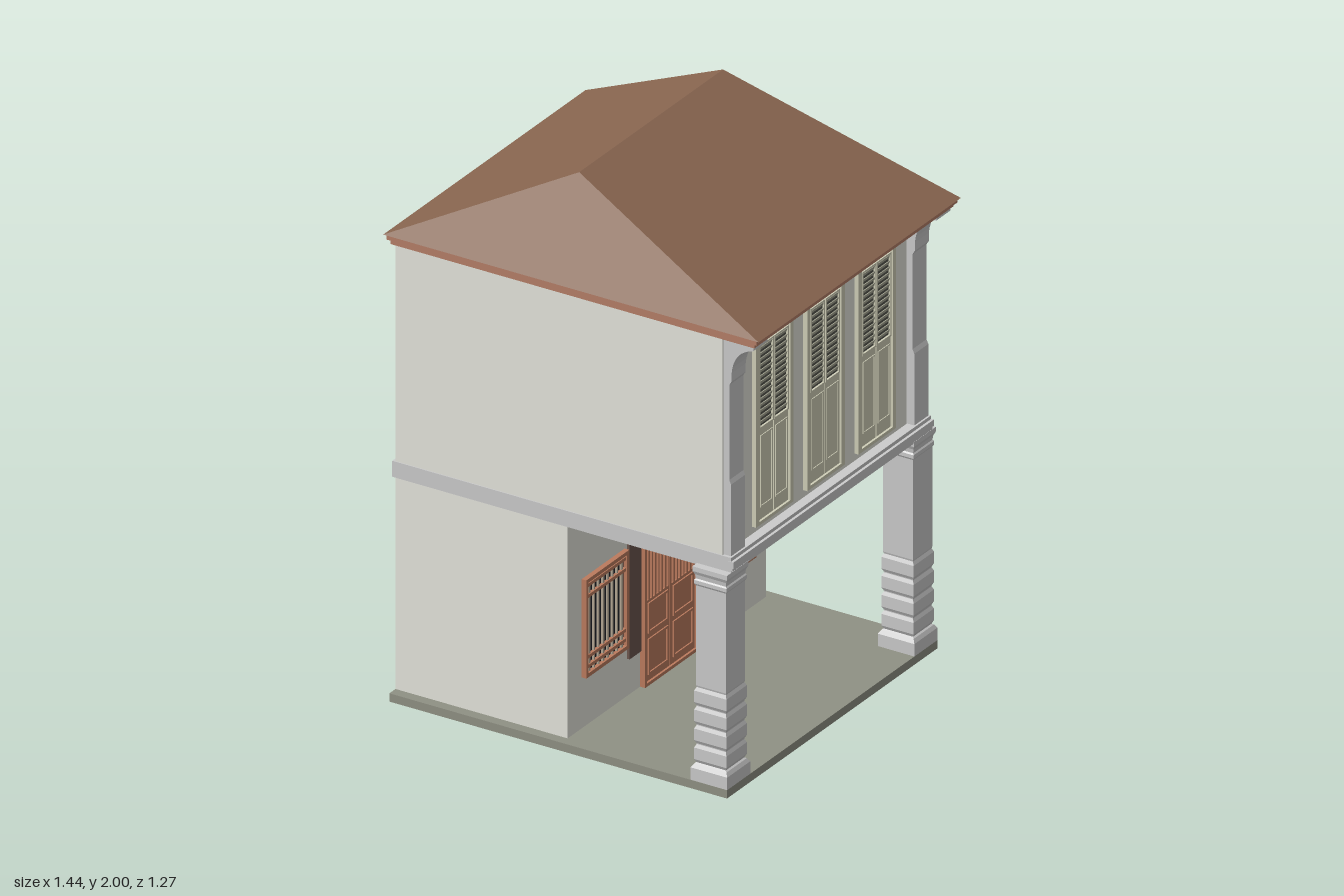
import * as THREE from 'three';

const mat = (color, extra = {}) => new THREE.MeshStandardMaterial({ color, ...extra });
const M = {
  wall: mat(0xe4e4dc), stone: mat(0xc0c0c2, { flatShading: true }), floor: mat(0x8f9184),
  roof: mat(0x896650, { flatShading: true }), eave: mat(0xb57f68), wood: mat(0xbb7b5e),
  board: mat(0x6c564e), dark: mat(0x23242c), sign: mat(0x474c58), bar: mat(0xb5a894),
  cream: mat(0xd0cfb8), fan: mat(0xbfb99f), slat: mat(0xa9a996), shade: mat(0x55564f),
};

function add(parent, name, geo, material) {
  const mesh = new THREE.Mesh(geo, material);
  mesh.name = name;
  parent.add(mesh);
  return mesh;
}

// Box given by its extents
function box(parent, name, material, x0, x1, y0, y1, z0, z1) {
  const m = add(parent, name, new THREE.BoxGeometry(x1 - x0, y1 - y0, z1 - z0), material);
  m.position.set((x0 + x1) / 2, (y0 + y1) / 2, (z0 + z1) / 2);
  return m;
}

// Group whose local +z looks along world +x, for parts on the street side
function facade(parent, name, x, z = 0) {
  const g = new THREE.Group();
  g.name = name;
  g.rotation.y = Math.PI / 2;
  g.position.set(x, 0, z);
  parent.add(g);
  return g;
}

// Raised rectangular border
function border(parent, name, material, x0, x1, y0, y1, z0, z1, t) {
  box(parent, name, material, x0, x0 + t, y0, y1, z0, z1);
  box(parent, name, material, x1 - t, x1, y0, y1, z0, z1);
  box(parent, name, material, x0 + t, x1 - t, y0, y0 + t, z0, z1);
  box(parent, name, material, x0 + t, x1 - t, y1 - t, y1, z0, z1);
}

// Hipped roof with a short ridge, closed below
function roofGeometry() {
  const y = 1.675, X = 0.72, Z = 0.612;
  const a = [-X, y, Z], b = [X, y, Z], c = [X, y, -Z], d = [-X, y, -Z];
  const p = [-0.08, 2, 0.435], q = [-0.08, 2, -0.435];
  const tris = [a, b, p, b, c, q, b, q, p, c, d, q, d, a, p, d, p, q, a, d, c, a, c, b];
  const g = new THREE.BufferGeometry();
  g.setAttribute('position', new THREE.Float32BufferAttribute(tris.flat(), 3));
  g.computeVertexNormals();
  return g;
}

// Square column turned from a profile of [half width, height]
function column(parent, x, z) {
  const prof = [[0, 0.03], [0.07, 0.03], [0.07, 0.075], [0.062, 0.088]];
  for (let i = 0; i < 4; i++) {
    const y = 0.092 + i * 0.069;
    prof.push([0.056, y], [0.062, y + 0.012], [0.062, y + 0.054], [0.056, y + 0.066]);
  }
  prof.push([0.058, 0.372], [0.058, 0.735], [0.062, 0.742], [0.062, 0.755], [0.058, 0.76],
    [0.06, 0.775], [0.066, 0.788], [0.066, 0.805], [0, 0.805]);
  const pts = prof.map(([w, y]) => new THREE.Vector2(w * Math.SQRT2, y));
  const m = add(parent, 'column', new THREE.LatheGeometry(pts, 4).rotateY(Math.PI / 4), M.stone);
  m.position.set(x, 0, z);
}

// Upper pilaster with a curved bracket under the eave
function pilaster(parent, z) {
  const s = new THREE.Shape();
  s.moveTo(0.56, 0.86);
  s.lineTo(0.605, 0.86);
  s.lineTo(0.605, 1.12);
  s.lineTo(0.598, 1.135);
  s.lineTo(0.598, 1.48);
  s.lineTo(0.607, 1.495);
  s.lineTo(0.607, 1.525);
  s.quadraticCurveTo(0.615, 1.61, 0.69, 1.628);
  s.lineTo(0.69, 1.648);
  s.lineTo(0.56, 1.648);
  const g = new THREE.ExtrudeGeometry(s, { depth: 0.085, bevelEnabled: false, curveSegments: 8 });
  add(parent, 'pilaster', g, M.stone).position.z = z - 0.0425;
}

// Rectangle with a low arched head
function archPath(Kind, w, y0, spring, top) {
  const s = new Kind();
  s.moveTo(-w, y0);
  s.lineTo(w, y0);
  s.lineTo(w, spring);
  s.absellipse(0, spring, w, top - spring, 0, Math.PI, false);
  s.lineTo(-w, y0);
  return s;
}

function upperWindow(parent, z) {
  const g = facade(parent, 'archedWindow', 0.575, z);
  const ex = (shape, depth) => new THREE.ExtrudeGeometry(shape, { depth, bevelEnabled: false, curveSegments: 20 });
  add(g, 'fanlight', ex(archPath(THREE.Shape, 0.11, 0.885, 1.55, 1.622), 0.006), M.fan);
  const rim = archPath(THREE.Shape, 0.113, 0.885, 1.55, 1.625);
  rim.holes.push(archPath(THREE.Path, 0.094, 0.897, 1.545, 1.606));
  add(g, 'windowFrame', ex(rim, 0.016), M.cream);
  const key = new THREE.Shape([[-0.014, 1.575], [0.014, 1.575], [0.027, 1.642], [-0.027, 1.642]]
    .map(([x, y]) => new THREE.Vector2(x, y)));
  add(g, 'keystone', ex(key, 0.024), M.cream);
  for (const s of [-1, 1]) {
    const c = s * 0.045, x0 = c - 0.043, x1 = c + 0.043;
    box(g, 'shutterLeaf', M.cream, x0, x1, 0.9, 1.235, 0, 0.011);
    border(g, 'shutterPanelTrim', M.cream, x0 + 0.007, x1 - 0.007, 0.945, 1.205, 0.011, 0.014, 0.005);
    box(g, 'louverBack', M.shade, x0, x1, 1.235, 1.53, 0, 0.007);
    border(g, 'louverFrame', M.cream, x0, x1, 1.23, 1.535, 0.006, 0.014, 0.006);
    for (let i = 0; i < 14; i++) {
      const y = 1.246 + i * 0.0207;
      box(g, 'louver', M.slat, x0 + 0.006, x1 - 0.006, y - 0.002, y + 0.012, 0.008, 0.011).rotation.x = 0.35;
    }
  }
}

function groundWindow(parent, z) {
  const g = facade(parent, 'barredWindow', -0.02, z);
  box(g, 'windowPane', M.dark, -0.125, 0.125, 0.225, 0.565, 0, 0.004);
  border(g, 'windowFrame', M.wood, -0.13, 0.13, 0.215, 0.572, 0, 0.018, 0.014);
  for (const y of [0.245, 0.28, 0.5, 0.54]) box(g, 'rail', M.wood, -0.116, 0.116, y, y + 0.012, 0.004, 0.015);
  for (let i = 0; i < 8; i++) {
    const x = -0.098 + i * 0.028;
    box(g, 'verticalBar', M.bar, x - 0.004, x + 0.004, 0.229, 0.558, 0.004, 0.011);
  }
}

function door(parent) {
  const g = facade(parent, 'door', -0.02);
  border(g, 'doorFrame', M.wood, -0.162, 0.162, 0.03, 0.638, 0, 0.02, 0.012);
  for (const s of [-1, 1]) {
    const c = s * 0.0755, x0 = c - 0.074, x1 = c + 0.074;
    box(g, 'doorLeaf', M.wood, x0, x1, 0.042, 0.335, 0, 0.012);
    box(g, 'doorLeafTop', M.wood, x0, x1, 0.535, 0.626, 0, 0.012);
    box(g, 'doorOpening', M.dark, x0, x1, 0.335, 0.535, 0, 0.004);
    border(g, 'panelTrim', M.wood, x0 + 0.014, x1 - 0.014, 0.065, 0.195, 0.012, 0.017, 0.008);
    border(g, 'panelTrim', M.wood, x0 + 0.014, x1 - 0.014, 0.215, 0.325, 0.012, 0.017, 0.008);
    border(g, 'panelTrim', M.wood, x0 + 0.014, x1 - 0.014, 0.56, 0.612, 0.012, 0.017, 0.008);
    for (let i = 0; i < 8; i++) {
      const x = x0 + 0.004 + i * 0.02;
      box(g, 'doorBar', M.wood, x - 0.004, x + 0.004, 0.335, 0.535, 0.004, 0.012);
    }
    // Upright boards beside the door
    box(g, 'sideBoard', M.board, s * 0.205 - 0.035, s * 0.205 + 0.035, 0.165, 0.667, 0, 0.01);
  }
  // Sign panel leaning forward above the door
  const sign = box(g, 'signPanel', M.sign, -0.092, 0.092, 0.645, 0.765, 0.008, 0.014);
  sign.rotation.x = 0.12;
}

export function createModel() {
  const house = new THREE.Group();
  house.name = 'shophouse';

  // Floors and walls
  box(house, 'floorSlab', M.floor, -0.68, 0.615, 0, 0.03, -0.637, 0.637);
  box(house, 'groundFloorWalls', M.wall, -0.68, -0.02, 0.03, 0.8, -0.6, 0.6);
  box(house, 'floorBand', M.stone, -0.69, 0.61, 0.8, 0.858, -0.604, 0.604);
  box(house, 'bandMoulding', M.stone, 0.6, 0.62, 0.822, 0.845, -0.606, 0.606);
  box(house, 'bandMoulding', M.stone, 0.6, 0.615, 0.81, 0.822, -0.605, 0.605);
  box(house, 'upperFloorWalls', M.wall, -0.68, 0.575, 0.858, 1.65, -0.6, 0.6);

  // Roof and stepped eave
  add(house, 'roof', roofGeometry(), M.roof);
  box(house, 'eaveUpper', M.eave, -0.71, 0.71, 1.658, 1.676, -0.608, 0.608);
  box(house, 'eaveLower', M.eave, -0.698, 0.698, 1.643, 1.66, -0.603, 0.603);

  // Street side
  for (const s of [-1, 1]) {
    column(house, 0.545, s * 0.566);
    pilaster(house, s * 0.554);
    groundWindow(house, s * 0.385);
  }
  for (const z of [-0.31, 0, 0.31]) upperWindow(house, z);
  door(house);
  return house;
}
